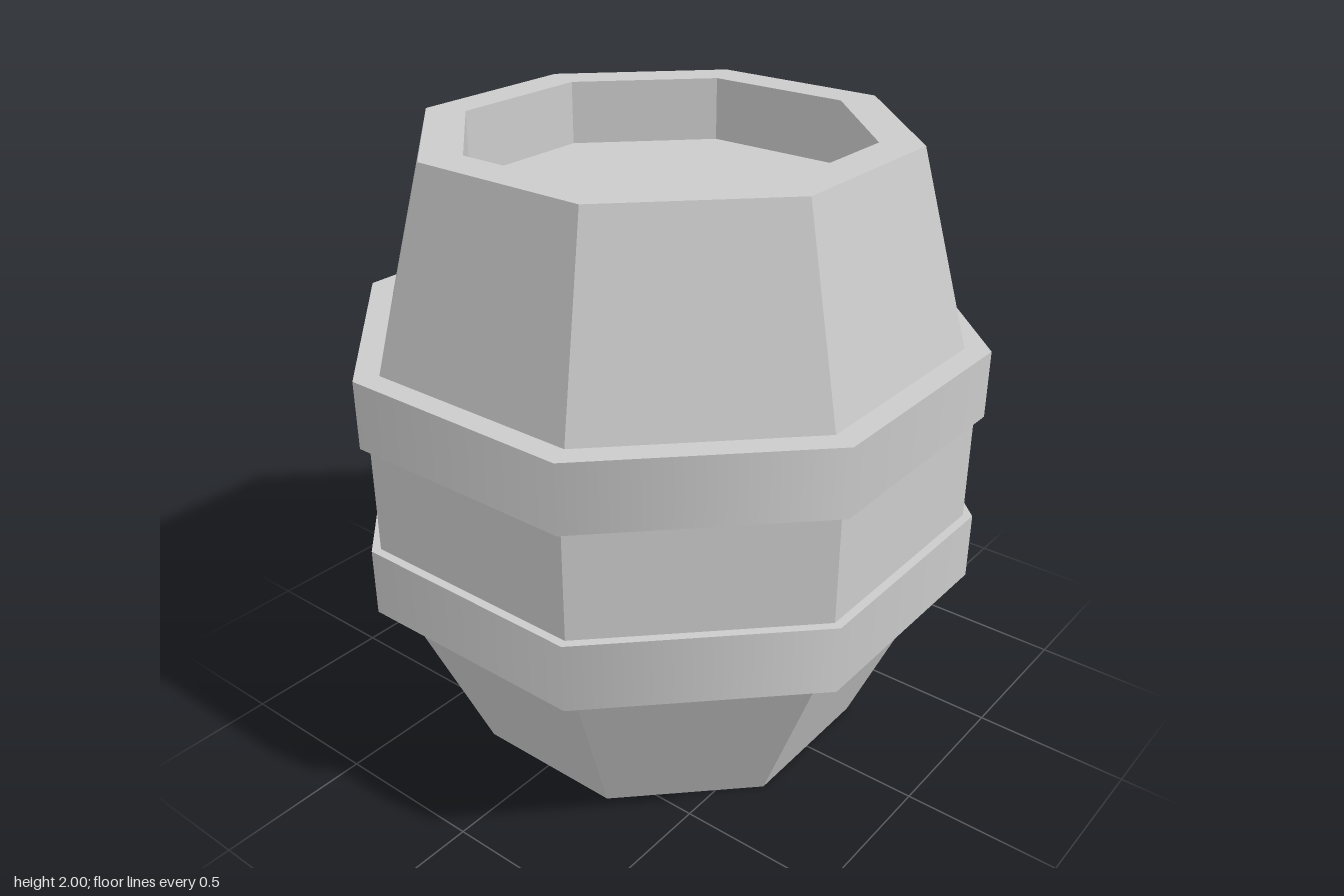
import * as THREE from 'three';

const SIDES = 8;
const TURN = Math.PI / SIDES; // flat faces point to the front and sides
const K = 1 / Math.cos(TURN); // face distance to corner radius

const flat = new THREE.MeshStandardMaterial({ color: 0xcccccc, flatShading: true, side: THREE.DoubleSide });
const smooth = new THREE.MeshStandardMaterial({ color: 0xcccccc, side: THREE.DoubleSide });

// Open eight-sided wall between two heights, radii measured to the flats
function wall(name, y0, r0, y1, r1, material = flat) {
  const geo = new THREE.CylinderGeometry(r1 * K, r0 * K, y1 - y0, SIDES, 1, true, TURN);
  const mesh = new THREE.Mesh(geo, material);
  mesh.name = name;
  mesh.position.y = (y0 + y1) / 2;
  return mesh;
}

// Horizontal eight-sided face, with a hole when inner > 0
function plate(name, y, inner, outer, up = true) {
  const geo = inner > 0
    ? new THREE.RingGeometry(inner * K, outer * K, SIDES, 1, TURN)
    : new THREE.CircleGeometry(outer * K, SIDES, TURN);
  geo.rotateX(up ? -Math.PI / 2 : Math.PI / 2);
  const mesh = new THREE.Mesh(geo, flat);
  mesh.name = name;
  mesh.position.y = y;
  return mesh;
}

// Raised hoop around the barrel, open towards the hollow inside
function hoop(name, y0, y1) {
  const group = new THREE.Group();
  group.name = name;
  group.add(
    wall('hoopBand', y0, 0.93, y1, 0.93, smooth),
    plate('hoopTop', y1, 0.82, 0.93),
    plate('hoopUnderside', y0, 0.82, 0.93, false),
  );
  return group;
}

export function createModel() {
  const barrel = new THREE.Group();
  barrel.name = 'barrel';

  // Staves: tapered ends and straight belly, open at the bottom
  barrel.add(
    wall('lowerStaves', 0, 0.61, 0.617, 0.86),
    wall('middleStaves', 0.835, 0.903, 1.185, 0.903),
    wall('upperStaves', 1.4, 0.857, 2, 0.705),
  );

  // Hoops
  barrel.add(hoop('lowerHoop', 0.617, 0.835), hoop('upperHoop', 1.185, 1.4));

  // Rim and sunken lid
  barrel.add(
    plate('rim', 2, 0.583, 0.705),
    wall('rimInside', 1.795, 0.583, 2, 0.583),
    plate('lid', 1.795, 0, 0.583),
  );
  return barrel;
}
